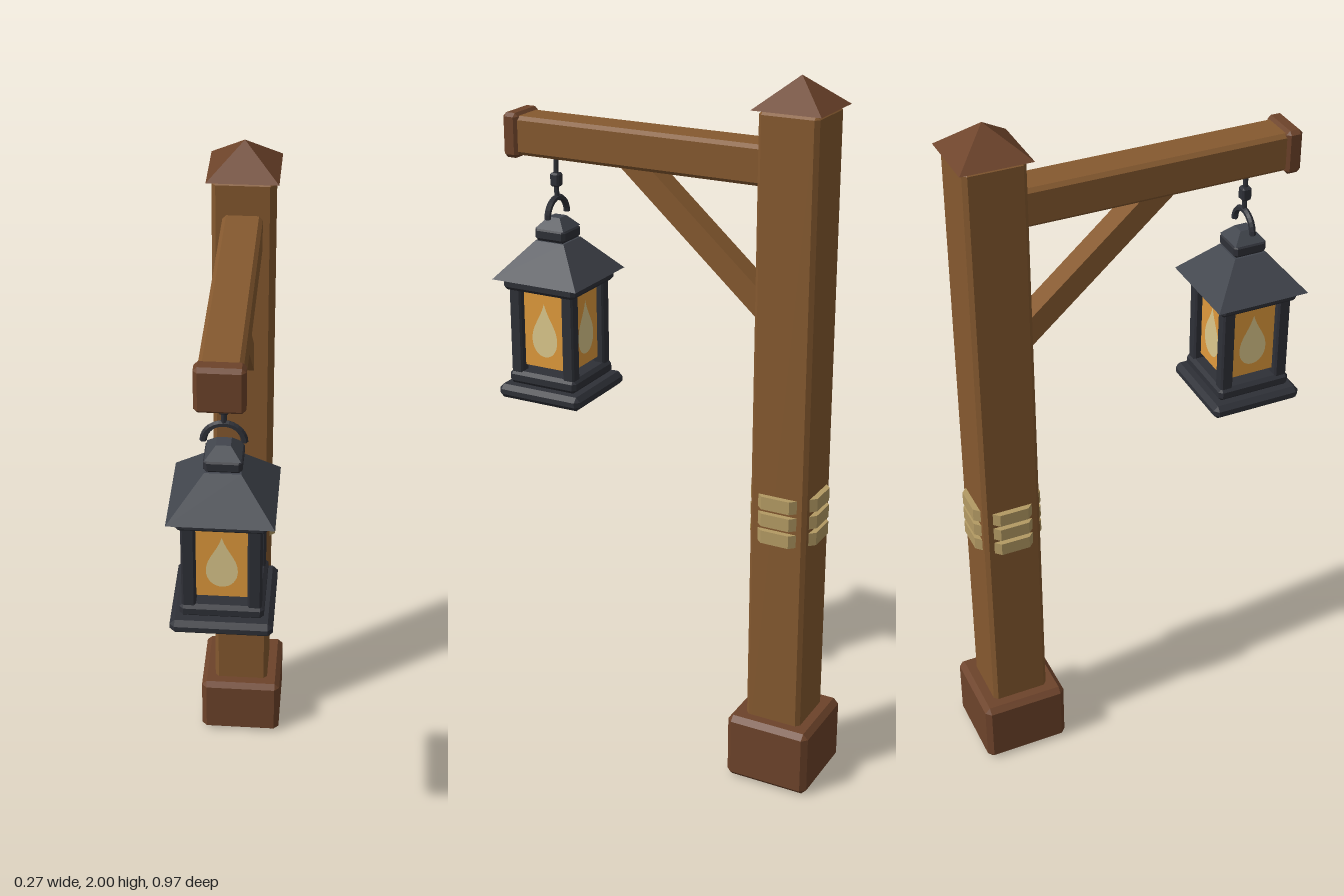
import * as THREE from 'three';
import { ConvexGeometry } from 'three/addons/geometries/ConvexGeometry.js';

const mat = (color, extra = {}) =>
  Object.assign(new THREE.MeshStandardMaterial({ color, flatShading: true }), extra);

const wood = mat(0x85592f);
const darkWood = mat(0x6d432a);
const rope = mat(0xb39a63);
const iron = mat(0x2e3037);
const slate = mat(0x41454d);
const glass = mat(0xe09a3c);
const flame = mat(0xdcc88c, { side: THREE.DoubleSide });

const POST_Z = -0.36;
const LAMP_Z = 0.356;

function add(parent, name, geometry, material, x = 0, y = 0, z = 0) {
  const mesh = new THREE.Mesh(geometry, material);
  mesh.name = name;
  mesh.position.set(x, y, z);
  parent.add(mesh);
  return mesh;
}

// Box with every edge cut at 45 degrees
function chamferBox(w, h, d, c) {
  const points = [];
  for (const sx of [-1, 1]) for (const sy of [-1, 1]) for (const sz of [-1, 1]) {
    const x = w / 2, y = h / 2, z = d / 2;
    points.push(
      new THREE.Vector3(sx * x, sy * (y - c), sz * (z - c)),
      new THREE.Vector3(sx * (x - c), sy * y, sz * (z - c)),
      new THREE.Vector3(sx * (x - c), sy * (y - c), sz * z));
  }
  return new ConvexGeometry(points);
}

// Square frustum or pyramid given by its half widths
function frustum(top, bottom, h) {
  return new THREE.CylinderGeometry(top * Math.SQRT2, bottom * Math.SQRT2, h, 4)
    .rotateY(Math.PI / 4);
}

function buildPost() {
  const post = new THREE.Group();
  post.name = 'post';
  post.position.z = POST_Z;
  add(post, 'footing', chamferBox(0.246, 0.195, 0.246, 0.015), darkWood, 0, 0.1025, 0);
  add(post, 'shaft', chamferBox(0.164, 1.82, 0.164, 0.011), wood, 0, 1.01, 0);
  add(post, 'cap', frustum(0, 0.095, 0.08), darkWood, 0, 1.96, 0);
  // Octagonal bands sink into the corners of the square shaft
  for (let i = 0; i < 3; i++) {
    const band = new THREE.CylinderGeometry(0.106, 0.106, 0.037, 8).rotateY(Math.PI / 8);
    add(post, 'ropeBand', band, rope, 0, 0.773 + i * 0.05, 0);
  }
  return post;
}

function buildArm() {
  const arm = new THREE.Group();
  arm.name = 'arm';
  add(arm, 'beam', chamferBox(0.106, 0.106, 0.78, 0.01), wood, 0, 1.772, 0.07);
  add(arm, 'beamEnd', chamferBox(0.122, 0.122, 0.046, 0.01), darkWood, 0, 1.772, 0.463);
  // Slanted brace, outlined in the side plane as (z, y)
  const outline = new THREE.Shape([
    [0.151, 1.73], [0.056, 1.73], [-0.3, 1.417], [-0.3, 1.333],
  ].map(([z, y]) => new THREE.Vector2(z, y)));
  const brace = new THREE.ExtrudeGeometry(outline, { depth: 0.066, bevelEnabled: false })
    .translate(0, 0, -0.033).rotateY(-Math.PI / 2);
  add(arm, 'brace', brace, wood);
  return arm;
}

function buildHanger() {
  const hanger = new THREE.Group();
  hanger.name = 'hanger';
  add(hanger, 'rod', new THREE.CylinderGeometry(0.007, 0.007, 0.13, 8), iron, 0, 1.665, 0);
  add(hanger, 'knob', chamferBox(0.028, 0.038, 0.028, 0.005), iron, 0, 1.652, 0);
  const hook = new THREE.TorusGeometry(0.05, 0.009, 6, 14, Math.PI);
  add(hanger, 'hook', hook, iron, 0, 1.552, 0);
  return hanger;
}

function buildLantern() {
  const lantern = new THREE.Group();
  lantern.name = 'lantern';
  add(lantern, 'lowerPlate', chamferBox(0.262, 0.04, 0.262, 0.013), iron, 0, 1.058, 0);
  add(lantern, 'upperPlate', chamferBox(0.214, 0.038, 0.214, 0.01), iron, 0, 1.098, 0);
  add(lantern, 'topRim', chamferBox(0.228, 0.036, 0.228, 0.01), iron, 0, 1.372, 0);
  add(lantern, 'roof', frustum(0.045, 0.133, 0.1), slate, 0, 1.436, 0);
  add(lantern, 'collar', chamferBox(0.096, 0.038, 0.096, 0.009), iron, 0, 1.505, 0);
  add(lantern, 'finial', frustum(0.018, 0.045, 0.03), slate, 0, 1.535, 0);

  for (const sx of [-1, 1]) for (const sz of [-1, 1]) {
    add(lantern, 'cornerPost', chamferBox(0.036, 0.255, 0.036, 0.005), iron,
      sx * 0.083, 1.237, sz * 0.083);
  }

  // Teardrop flame set on each pane
  const drop = new THREE.Shape();
  drop.moveTo(0, 1.32);
  drop.bezierCurveTo(0.012, 1.275, 0.04, 1.255, 0.04, 1.215);
  drop.bezierCurveTo(0.04, 1.185, 0.022, 1.165, 0, 1.165);
  drop.bezierCurveTo(-0.022, 1.165, -0.04, 1.185, -0.04, 1.215);
  drop.bezierCurveTo(-0.04, 1.255, -0.012, 1.275, 0, 1.32);
  const dropGeometry = new THREE.ShapeGeometry(drop, 8);

  for (let i = 0; i < 4; i++) {
    const side = new THREE.Group();
    side.name = 'windowSide';
    side.rotation.y = i * Math.PI / 2;
    add(side, 'pane', new THREE.BoxGeometry(0.14, 0.23, 0.008), glass, 0, 1.248, 0.077);
    add(side, 'flame', dropGeometry, flame, 0, 0, 0.083);
    lantern.add(side);
  }
  return lantern;
}

export function createModel() {
  const model = new THREE.Group();
  model.name = 'lampPost';
  const hanger = buildHanger();
  const lantern = buildLantern();
  hanger.position.z = lantern.position.z = LAMP_Z;
  model.add(buildPost(), buildArm(), hanger, lantern);
  return model;
}
